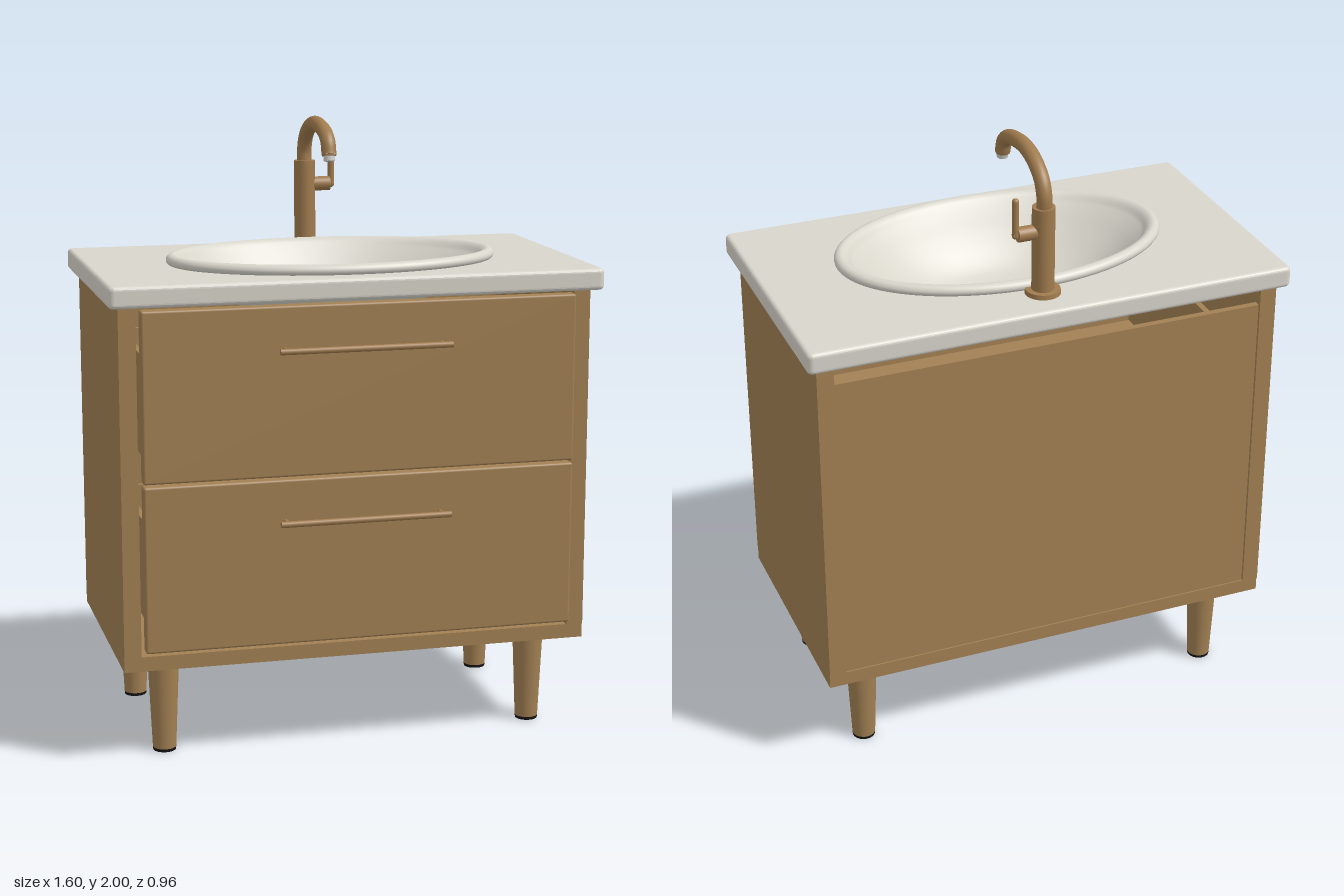
import * as THREE from 'three';
import { mergeVertices } from 'three/addons/utils/BufferGeometryUtils.js';
import { RoundedBoxGeometry } from 'three/addons/geometries/RoundedBoxGeometry.js';

const paint = (name, color) => {
  const m = new THREE.MeshStandardMaterial({ color });
  m.name = name;
  return m;
};

export function createModel() {
  const wood = paint('wood', 0xa28053);
  const brass = paint('brass', 0xa07b4e);
  const ceramic = paint('ceramic', 0xd8d5cb);
  const steel = paint('steel', 0xd0cec8);
  const black = paint('black rubber', 0x141414);

  const model = new THREE.Group();
  model.name = 'vanity';
  const add = (name, geometry, material, x = 0, y = 0, z = 0, parent = model) => {
    const mesh = new THREE.Mesh(geometry, material);
    mesh.name = name;
    mesh.position.set(x, y, z);
    parent.add(mesh);
    return mesh;
  };
  const group = (name) => {
    const g = new THREE.Group();
    g.name = name;
    model.add(g);
    return g;
  };
  // Box given by its limits on each axis, optionally with rounded edges
  const box = (name, [x0, x1], [y0, y1], [z0, z1], material, parent, round = 0) => {
    const size = [x1 - x0, y1 - y0, z1 - z0];
    const geo = round ? new RoundedBoxGeometry(...size, 3, round) : new THREE.BoxGeometry(...size);
    return add(name, geo, material, (x0 + x1) / 2, (y0 + y1) / 2, (z0 + z1) / 2, parent);
  };
  const rod = (r0, r1, h, n = 32) => new THREE.CylinderGeometry(r0, r1, h, n);

  // Cabinet carcass
  const cabinet = group('cabinet');
  box('leftPanel', [0.711, 0.766], [0.356, 1.478], [-0.445, 0.378], wood, cabinet);
  box('rightPanel', [-0.766, -0.711], [0.356, 1.478], [-0.445, 0.378], wood, cabinet);
  box('bottomPanel', [-0.766, 0.766], [0.309, 0.356], [-0.441, 0.373], wood, cabinet);
  box('backPanel', [-0.711, 0.711], [0.356, 1.41], [-0.436, -0.414], wood, cabinet);

  // Drawers: front, inner tray and bar handle
  for (const [name, y0, y1, handleY] of [['lowerDrawer', 0.38, 0.918, 0.785], ['upperDrawer', 0.926, 1.47, 1.334]]) {
    const drawer = group(name);
    box('drawerFront', [-0.703, 0.703], [y0, y1], [0.378, 0.424], wood, drawer, 0.008);
    box('trayBottom', [-0.66, 0.66], [y0 + 0.03, y0 + 0.05], [-0.36, 0.378], wood, drawer);
    box('trayBack', [-0.66, 0.66], [y0 + 0.05, y0 + 0.36], [-0.36, -0.34], wood, drawer);
    for (const s of [-1, 1]) {
      box('traySide', [s * 0.65 - 0.01, s * 0.65 + 0.01], [y0 + 0.05, y0 + 0.36], [-0.34, 0.378], wood, drawer);
      add('handlePost', rod(0.007, 0.007, 0.05, 16), brass, s * 0.253, handleY, 0.446, drawer).rotation.x = Math.PI / 2;
    }
    add('handleBar', rod(0.01, 0.01, 0.555, 20), brass, 0, handleY, 0.469, drawer).rotation.z = Math.PI / 2;
  }

  // Tapered legs with rubber feet
  for (const x of [-0.62, 0.62]) {
    for (const z of [0.25, -0.318]) {
      const leg = group('leg');
      leg.position.set(x, 0, z);
      add('legPost', rod(0.05, 0.038, 0.279), wood, 0, 0.1495, 0, leg);
      add('foot', rod(0.038, 0.037, 0.01), black, 0, 0.005, 0, leg);
    }
  }

  // Countertop with soft corners and an oval cutout
  const basinZ = 0.017, bevel = 0.014, corner = 0.006;
  const slab = new THREE.Shape();
  const [w, front, back] = [0.8 - bevel - corner, -0.424 + bevel + corner, 0.48 - bevel - corner];
  [[w, front], [w, back], [-w, back], [-w, front]].forEach(([x, y], i) =>
    slab.absarc(x, y, corner, (i - 1) * Math.PI / 2, i * Math.PI / 2, false));
  slab.closePath();
  const cutout = new THREE.Path();
  cutout.absellipse(0, -basinZ, 0.524, 0.324, 0, Math.PI * 2, true);
  slab.holes.push(cutout);
  const top = new THREE.ExtrudeGeometry(slab, {
    depth: 0.07 - 2 * bevel, bevelThickness: bevel, bevelSize: bevel, bevelSegments: 5, curveSegments: 32,
  });
  top.rotateX(-Math.PI / 2);
  add('countertop', top, ceramic, 0, 1.478 + bevel, 0);

  // Oval basin: a round shell, outside then rim then inside, widened along x
  const shell = new THREE.SplineCurve([
    [0.001, 1.333], [0.07, 1.337], [0.14, 1.37], [0.195, 1.423], [0.237, 1.478], [0.28, 1.528],
    [0.32, 1.543], [0.34, 1.55], [0.346, 1.563], [0.339, 1.576], [0.324, 1.581], [0.308, 1.574],
    [0.293, 1.557], [0.272, 1.528], [0.235, 1.475], [0.19, 1.422], [0.135, 1.38], [0.06, 1.355], [0.001, 1.352],
  ].map(([r, y]) => new THREE.Vector2(r, y))).getPoints(90);
  let basin = new THREE.LatheGeometry(shell, 80);
  const p = basin.attributes.position;
  for (let i = 0; i < p.count; i++) {
    const r = Math.hypot(p.getX(i), p.getZ(i));
    p.setX(i, p.getX(i) * (1 + 0.2 * Math.min(1, r / 0.29) / r));
  }
  basin.deleteAttribute('uv');
  basin.deleteAttribute('normal');
  basin = mergeVertices(basin, 1e-5);
  basin.computeVertexNormals();
  add('basin', basin, ceramic, 0, 0, basinZ);

  // Drain ring and plug
  const ring = add('drainRing', new THREE.TorusGeometry(0.042, 0.007, 12, 40), steel, 0, 1.358, basinZ);
  ring.rotation.x = Math.PI / 2;
  add('drainPlug', rod(0.033, 0.033, 0.014), steel, 0, 1.358, basinZ);

  // Faucet
  const faucet = group('faucet');
  faucet.position.z = -0.35;
  add('faucetBase', rod(0.055, 0.057, 0.016, 40), brass, 0, 1.555, 0, faucet);
  add('faucetBody', rod(0.036, 0.036, 0.282, 40), brass, 0, 1.697, 0, faucet);
  const spoutPath = new THREE.CatmullRomCurve3([
    [1.82, -0.004], [1.875, -0.004], [1.92, 0.018], [1.957, 0.072], [1.975, 0.145],
    [1.97, 0.22], [1.953, 0.285], [1.927, 0.321], [1.888, 0.335],
  ].map(([y, z]) => new THREE.Vector3(0, y, z)));
  add('spout', new THREE.TubeGeometry(spoutPath, 64, 0.0245, 24), brass, 0, 0, 0, faucet);
  const collar = add('spoutCollar', rod(0.0245, 0.0235, 0.006), brass, 0, 1.887, 0.335, faucet);
  const nozzle = add('aerator', rod(0.019, 0.018, 0.02), steel, 0, 1.877, 0.337, faucet);
  collar.rotation.x = nozzle.rotation.x = -0.2;
  add('leverHub', rod(0.024, 0.024, 0.06), brass, 0.056, 1.758, 0, faucet).rotation.z = Math.PI / 2;
  add('leverStem', rod(0.01, 0.01, 0.02, 16), brass, 0.09, 1.758, 0, faucet).rotation.z = Math.PI / 2;
  add('lever', new THREE.CapsuleGeometry(0.011, 0.113, 6, 16), brass, 0.092, 1.812, 0, faucet);

  return model;
}
